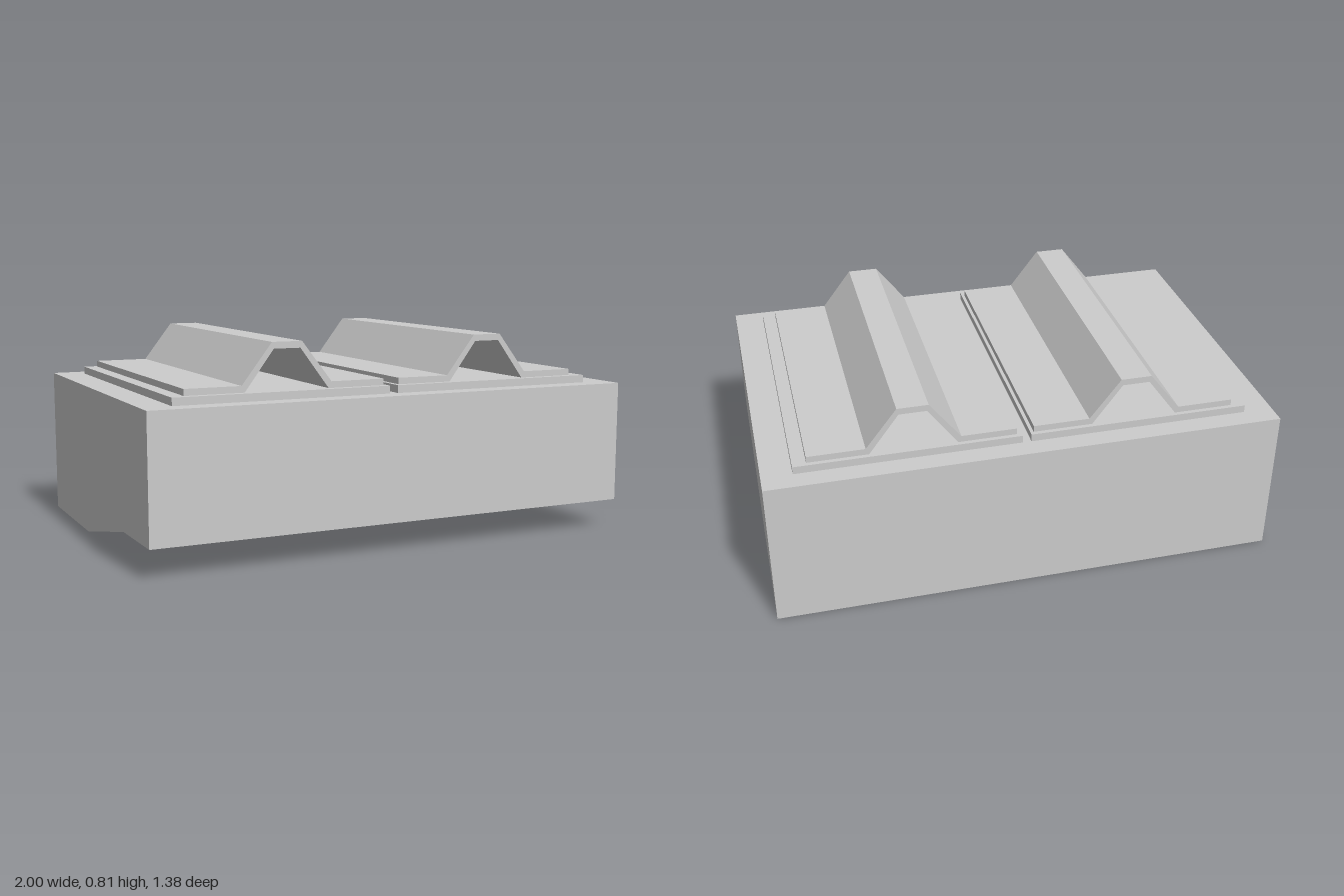
import * as THREE from 'three';

const lightGrey = new THREE.MeshStandardMaterial({ color: 0xcccccc });
lightGrey.name = 'lightGrey';

// Extrude a closed outline along z, starting at z = 0
function extrude(points, depth) {
  const shape = new THREE.Shape(points.map(([x, y]) => new THREE.Vector2(x, y)));
  return new THREE.ExtrudeGeometry(shape, { depth, bevelEnabled: false });
}

function addPart(parent, name, geometry) {
  const mesh = new THREE.Mesh(geometry, lightGrey);
  mesh.name = name;
  parent.add(mesh);
  return mesh;
}

// Bent sheet with a raised trapezoid ridge, centred on the ridge
function ridgeSheet(left, right) {
  const low = 0.63, foot = 0.655, under = 0.785, top = 0.81;
  return extrude([
    [left, low], [-0.168, low], [-0.053, under], [0.053, under], [0.168, low], [right, low],
    [right, foot], [0.18, foot], [0.06, top], [-0.06, top], [-0.18, foot], [left, foot],
  ], 1.175);
}

export function createModel() {
  const model = new THREE.Group();
  model.name = 'ridgedBlock';

  // Body: side outline (z, y) with a stepped-up underside, swept across x
  const body = extrude([
    [-0.69, 0], [-0.15, 0], [0.37, 0.11], [0.69, 0.115], [0.69, 0.6], [-0.69, 0.6],
  ], 2);
  body.rotateY(-Math.PI / 2).translate(1, 0, 0);
  addPart(model, 'body', body);

  // Two base plates, each carrying a ridged sheet
  for (const side of [-1, 1]) {
    const prefix = side < 0 ? 'right' : 'left';
    const plate = addPart(model, prefix + 'BasePlate', new THREE.BoxGeometry(0.866, 0.03, 1.22));
    plate.position.set(side * 0.45, 0.615, 0);

    const ridge = side < 0 ? ridgeSheet(-0.4, 0.4) : ridgeSheet(-0.395, 0.4);
    addPart(model, prefix + 'RidgeSheet', ridge).position.set(side * 0.43, 0, -0.593);
  }
  return model;
}
